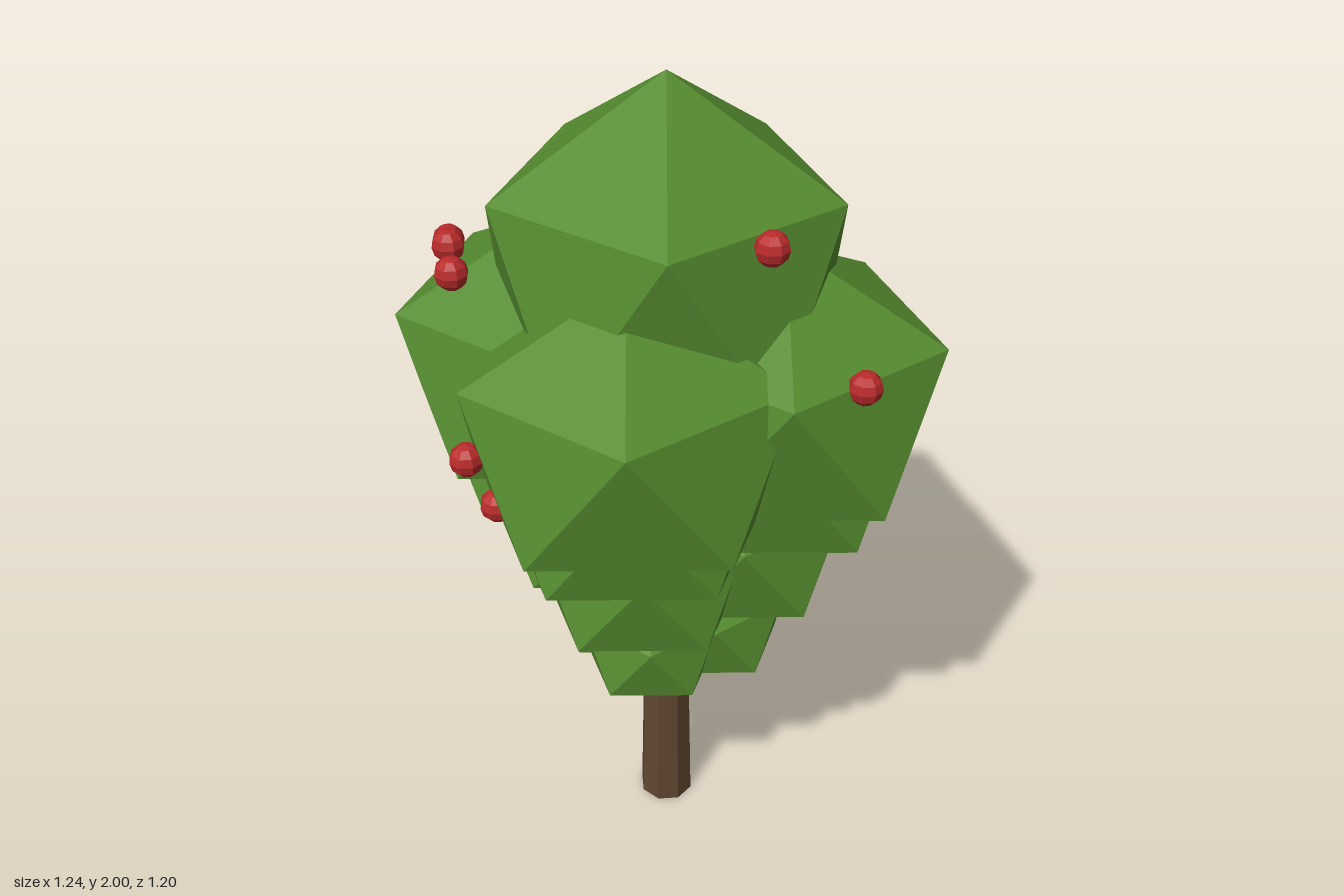
import * as THREE from 'three';

export function createModel() {
  const tree = new THREE.Group();
  tree.name = 'fruitTree';

  const flat = (name, color) => {
    const m = new THREE.MeshStandardMaterial({ color, flatShading: true });
    m.name = name;
    return m;
  };
  const leafGreen = flat('leafGreen', 0x558b2f);
  const barkBrown = flat('barkBrown', 0x5f4530);
  const berryRed = flat('berryRed', 0xb82a2a);

  const add = (parent, name, geometry, material, x, y, z) => {
    const mesh = new THREE.Mesh(geometry, material);
    mesh.name = name;
    mesh.position.set(x, y, z);
    parent.add(mesh);
    return mesh;
  };

  // Trunk: tapered octagonal post running up into the leaves
  add(tree, 'trunk', new THREE.CylinderGeometry(0.048, 0.069, 1, 8), barkBrown, 0, 0.5, 0);

  // Leaf clump: icosahedron standing on a vertex, a ring corner towards +x
  const clump = new THREE.IcosahedronGeometry(1, 0);
  clump.rotateZ(-Math.atan(2 / (1 + Math.sqrt(5))));

  const foliage = new THREE.Group();
  foliage.name = 'foliage';
  tree.add(foliage);

  // Tiers of four clumps: centre height, distance from trunk, radius, half height
  const tiers = [
    [0.627, 0.123, 0.187, 0.168],
    [0.901, 0.179, 0.274, 0.237],
    [1.167, 0.247, 0.34, 0.295],
    [1.312, 0.26, 0.401, 0.347],
  ];
  tiers.forEach(([y, out, radius, half], i) => {
    const tier = new THREE.Group();
    tier.name = `leafTier${i + 1}`;
    foliage.add(tier);
    for (const [dx, dz] of [[1, 0], [-1, 0], [0, 1], [0, -1]]) {
      add(tier, 'leafClump', clump, leafGreen, dx * out, y, dz * out).scale.set(radius, half, radius);
    }
  });

  // Crown clump
  add(foliage, 'crown', clump, leafGreen, 0, 1.57, 0).scale.setScalar(0.43);

  // Berries scattered over the leaves
  const berry = new THREE.SphereGeometry(0.037, 8, 6);
  const berries = new THREE.Group();
  berries.name = 'berries';
  tree.add(berries);
  const spots = [
    [-0.486, 1.578, 0.05], [-0.44, 1.62, 0.147], [-0.38, 1.62, 0.265],
    [0.282, 1.75, 0.212], [0.484, 1.468, 0.204],
    [-0.281, 1.31, 0.47], [-0.222, 1.205, 0.465],
  ];
  for (const [x, y, z] of spots) add(berries, 'berry', berry, berryRed, x, y, z);

  return tree;
}
